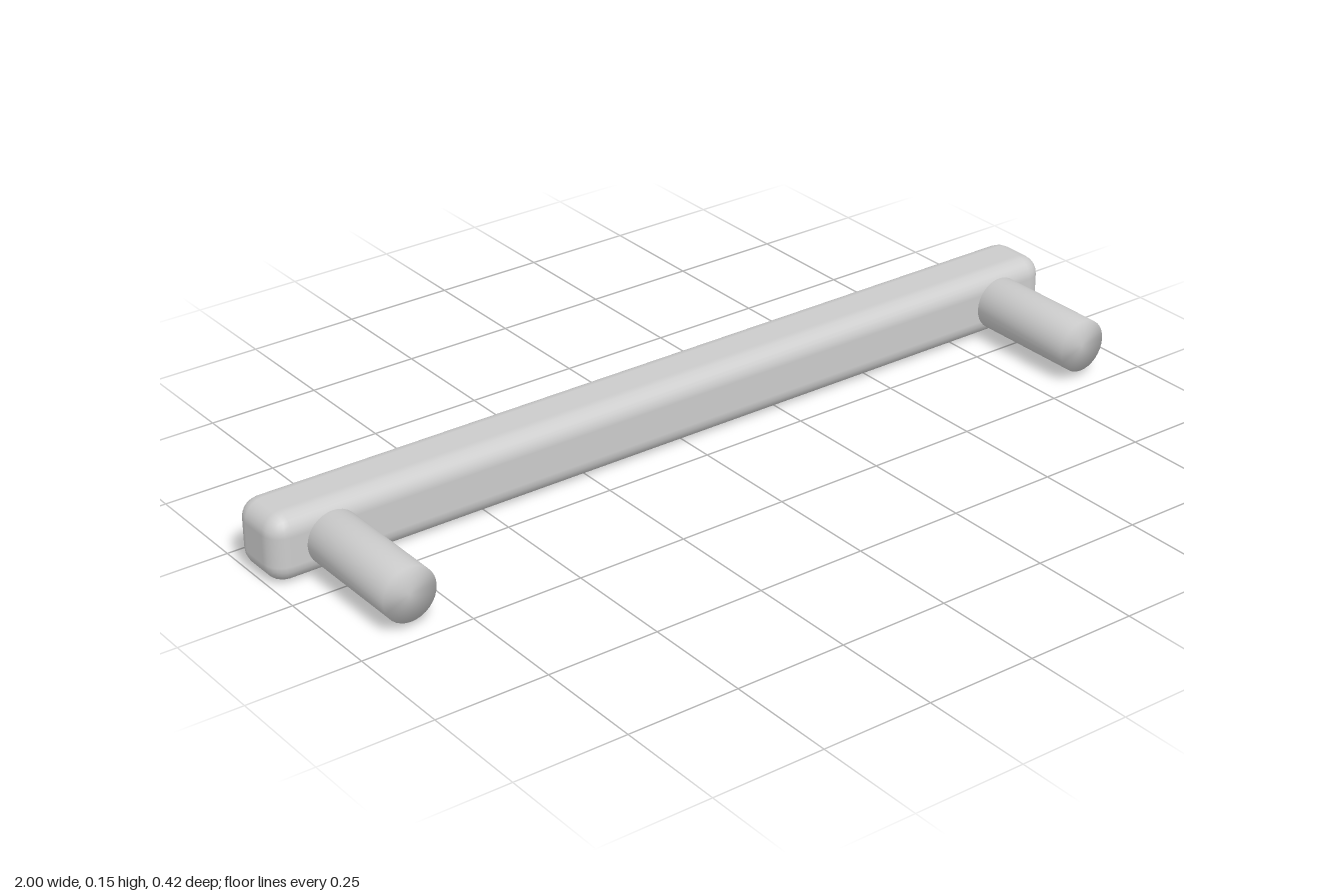
import * as THREE from 'three';
import { mergeVertices } from 'three/addons/utils/BufferGeometryUtils.js';
import { RoundedBoxGeometry } from 'three/addons/geometries/RoundedBoxGeometry.js';

// Share vertices so that shading runs smoothly over the rims
function smooth(geometry) {
  geometry.deleteAttribute('uv');
  geometry.deleteAttribute('normal');
  const merged = mergeVertices(geometry, 1e-4);
  merged.computeVertexNormals();
  return merged;
}

export function createModel() {
  const model = new THREE.Group();
  model.name = 'barHandle';
  const material = new THREE.MeshStandardMaterial({ color: 0xcccccc });

  // Long grip bar with rounded edges
  const bar = new THREE.Mesh(new RoundedBoxGeometry(2, 0.15, 0.148, 3, 0.043), material);
  bar.name = 'gripBar';
  bar.position.set(0, 0.075, -0.136);
  model.add(bar);

  // Two round mounting posts in front of the bar
  const back = -0.062, front = 0.21;
  const postGeometry = smooth(new THREE.CylinderGeometry(0.06, 0.06, front - back, 32));
  postGeometry.rotateX(Math.PI / 2);
  for (const [name, side] of [['leftPost', 1], ['rightPost', -1]]) {
    const post = new THREE.Mesh(postGeometry, material);
    post.name = name;
    post.position.set(side * 0.864, 0.076, (front + back) / 2);
    model.add(post);
  }

  return model;
}
